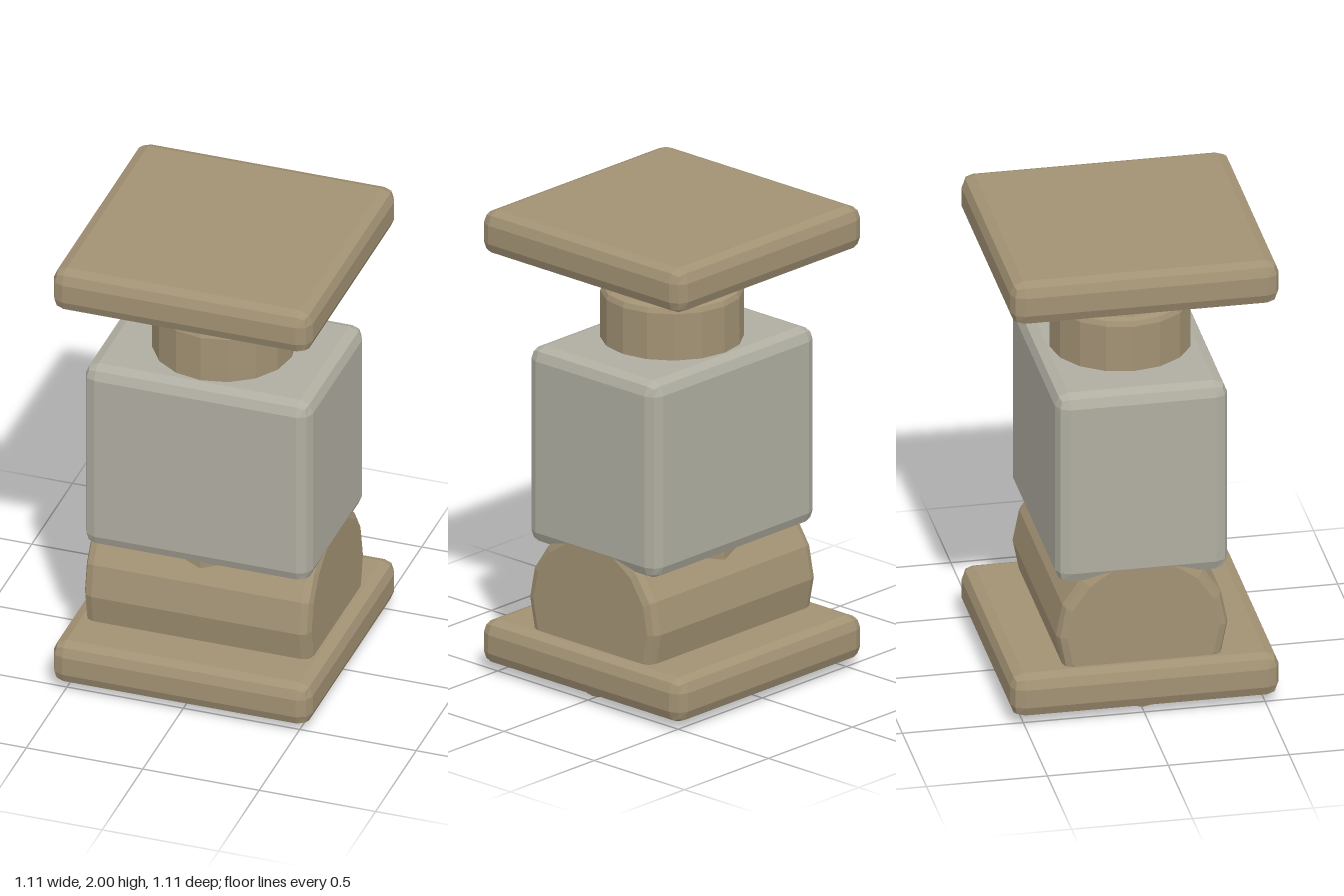
import * as THREE from 'three';
import { RoundedBoxGeometry } from 'three/addons/geometries/RoundedBoxGeometry.js';

const brown = new THREE.MeshStandardMaterial({ color: 0xa29274, flatShading: true });
brown.name = 'brown';
const grey = new THREE.MeshStandardMaterial({ color: 0xb0aea1, flatShading: true });
grey.name = 'grey';

// Box with a two-step bevel on every edge
function bevelBox(name, material, width, height, depth, y) {
  const mesh = new THREE.Mesh(new RoundedBoxGeometry(width, height, depth, 1, 0.055), material);
  mesh.name = name;
  mesh.position.y = y;
  return mesh;
}

// Sixteen-sided cylinder with a two-step bevel on both rims
function bevelCylinder(name, radius, length, bevel, y) {
  const h = length / 2;
  const k = bevel * (1 - Math.SQRT1_2);
  const rim = [[0, h], [radius - bevel, h], [radius - k, h - k], [radius, h - bevel]];
  const points = [
    ...rim.map(([r, t]) => new THREE.Vector2(r, -t)),
    ...rim.reverse().map(([r, t]) => new THREE.Vector2(r, t)),
  ];
  const mesh = new THREE.Mesh(new THREE.LatheGeometry(points, 16), brown);
  mesh.name = name;
  mesh.position.y = y;
  return mesh;
}

export function createModel() {
  const model = new THREE.Group();
  model.name = 'blockStack';

  // Square plates at the bottom and floating at the top
  model.add(bevelBox('basePlate', brown, 1.112, 0.19, 1.112, 0.135));
  model.add(bevelBox('topPlate', brown, 1.112, 0.19, 1.112, 1.905));

  // Main block
  model.add(bevelBox('body', grey, 0.976, 0.85, 0.712, 1.02));

  // Upright core, showing as a neck above the block
  model.add(bevelCylinder('neck', 0.292, 1.225, 0.03, 1.0625));

  // Barrel lying across the base
  const barrel = bevelCylinder('barrel', 0.355, 0.974, 0.04, 0.36);
  barrel.rotation.z = Math.PI / 2;
  model.add(barrel);

  return model;
}
